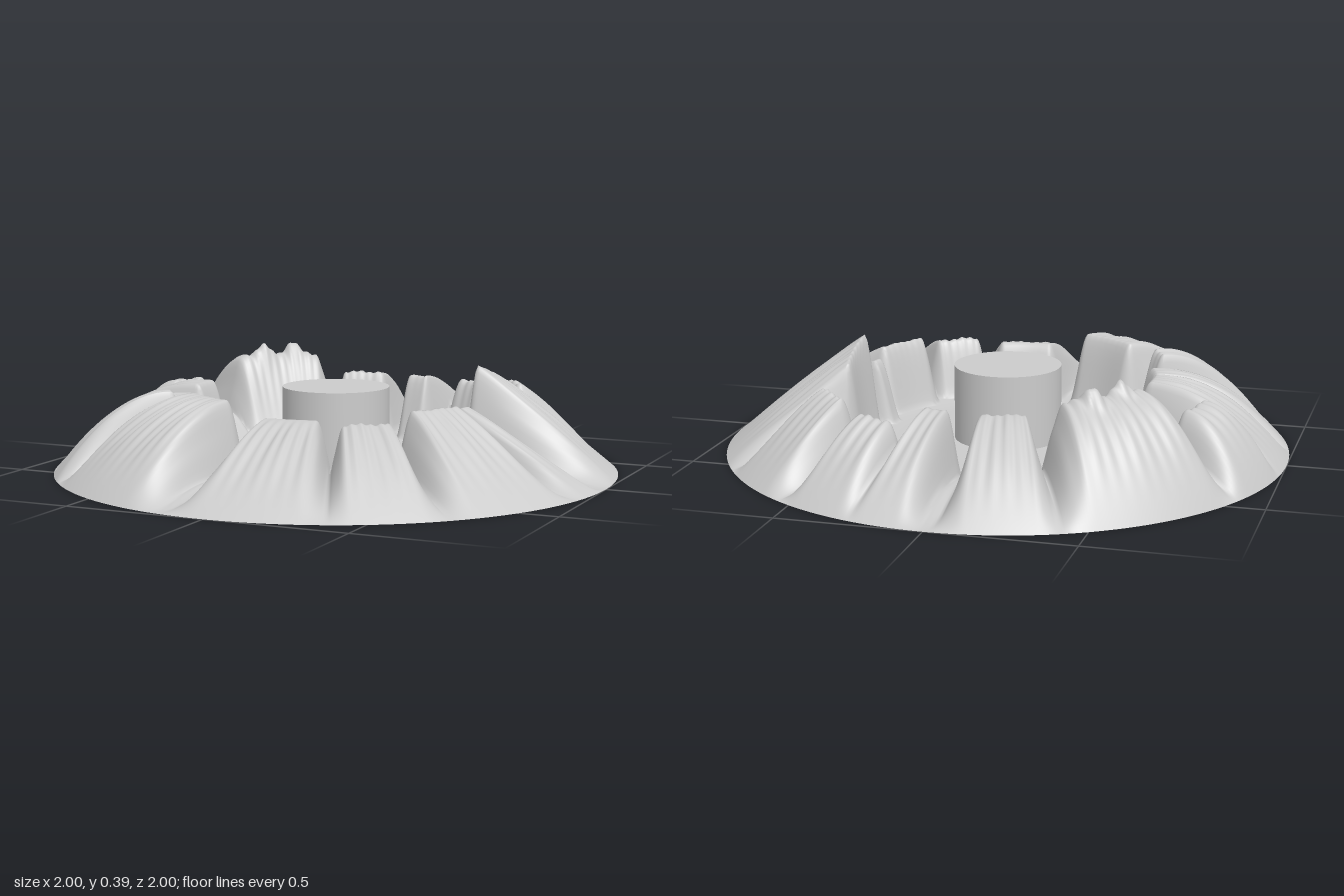
import * as THREE from 'three';

const material = new THREE.MeshStandardMaterial({ color: 0xcccccc });
const { lerp, degToRad } = THREE.MathUtils;
const smooth = (t) => THREE.MathUtils.smoothstep(t, 0, 1);

// One rock buttress: angles in degrees from +x towards +z, inner foot radius, crest height.
// wall is the depth of the inner face; tilt raises the far end and brings its foot inwards
function ridge(from, to, foot, height, { wall = 0.1, tilt = 0 } = {}) {
  const span = to - from;
  const bulge = 1.55 - 0.5 * Math.cos(degToRad(from + span / 2));
  const soft = 3 + 0.15 * span;
  return (r, deg) => {
    const a = THREE.MathUtils.euclideanModulo(deg - from, 360);
    if (a >= span) return 0;
    const c = (2 * a) / span - 1;
    const start = foot - tilt * c + 0.03 * c ** 4;
    const crest = start + wall;
    const sides = smooth(a / soft) * smooth((span - a) / soft);
    const profile = r < crest ? smooth((r - start) / wall) : 1 - ((r - crest) / (1 - crest)) ** bulge;
    return (height + tilt * c) * sides * profile;
  };
}

const ridges = [
  ridge(-37, 0, 0.48, 0.36, { wall: 0.06, tilt: 0.05 }),
  ridge(0, 15, 0.42, 0.26),
  ridge(11, 47, 0.46, 0.28),
  ridge(42, 70, 0.5, 0.25),
  ridge(64, 101, 0.41, 0.25),
  ridge(100, 141, 0.43, 0.3),
  ridge(136, 154, 0.49, 0.29),
  ridge(149, 171, 0.43, 0.26),
  ridge(167, 193, 0.43, 0.28),
  ridge(184, 209, 0.65, 0.25),
  ridge(187, 212, 0.42, 0.13, { wall: 0.2 }),
  ridge(203, 248, 0.46, 0.33, { wall: 0.2 }),
  ridge(242, 270, 0.48, 0.27),
  ridge(270, 289, 0.46, 0.27),
  ridge(282, 305, 0.6, 0.25),
  ridge(302, 328, 0.59, 0.28),
];

// Small pinnacle on the tall back ridge
function pinnacle(r, deg, angle, radius) {
  const d2 = r * r + radius * radius - 2 * r * radius * Math.cos(degToRad(deg - angle));
  return 0.05 * Math.exp(-d2 / 0.0012);
}

function terrainHeight(r, deg) {
  // crater floor and shallow gullies
  const gully = (0.03 + 0.025 * smooth((r - 0.4) / 0.3)) * smooth((1 - r) / 0.3);
  const rock = Math.max(gully, ...ridges.map((height) => height(r, deg)));
  // weathered streaks running down the outer slopes
  const wave = Math.sin(degToRad(deg * 40) + 4 * r) * Math.sin(degToRad(deg * 75) - 3 * r);
  const streaks = 0.008 * wave * smooth((r - 0.5) / 0.15) * smooth((1 - r) / 0.2) * Math.min(1, rock * 5);
  return rock + streaks + pinnacle(r, deg, 220, 0.65) + pinnacle(r, deg, 231, 0.69);
}

// Polar height field, from under the post out to the rim
function terrainGeometry() {
  const rings = 100, segments = 600;
  const positions = [], index = [];
  for (let i = 0; i <= rings; i++) {
    const r = lerp(0.15, 1, (i / rings) ** 0.85);
    for (let j = 0; j < segments; j++) {
      const deg = (j / segments) * 360;
      const a = degToRad(deg);
      positions.push(r * Math.cos(a), terrainHeight(r, deg), r * Math.sin(a));
      if (i === rings) continue;
      const p = i * segments + j;
      const q = i * segments + ((j + 1) % segments);
      index.push(p, q, p + segments, q, q + segments, p + segments);
    }
  }
  const geometry = new THREE.BufferGeometry();
  geometry.setAttribute('position', new THREE.Float32BufferAttribute(positions, 3));
  geometry.setIndex(index);
  geometry.computeVertexNormals();
  return geometry;
}

export function createModel() {
  const model = new THREE.Group();
  model.name = 'craterBase';
  const add = (name, geometry) => {
    const mesh = new THREE.Mesh(geometry, material);
    mesh.name = name;
    model.add(mesh);
  };

  add('rockyRing', terrainGeometry());
  add('underside', new THREE.CircleGeometry(1, 128).rotateX(Math.PI / 2));
  // central post standing on the crater floor
  add('centrePost', new THREE.CylinderGeometry(0.19, 0.19, 0.285, 96).translate(0, 0.1525, 0));
  return model;
}
